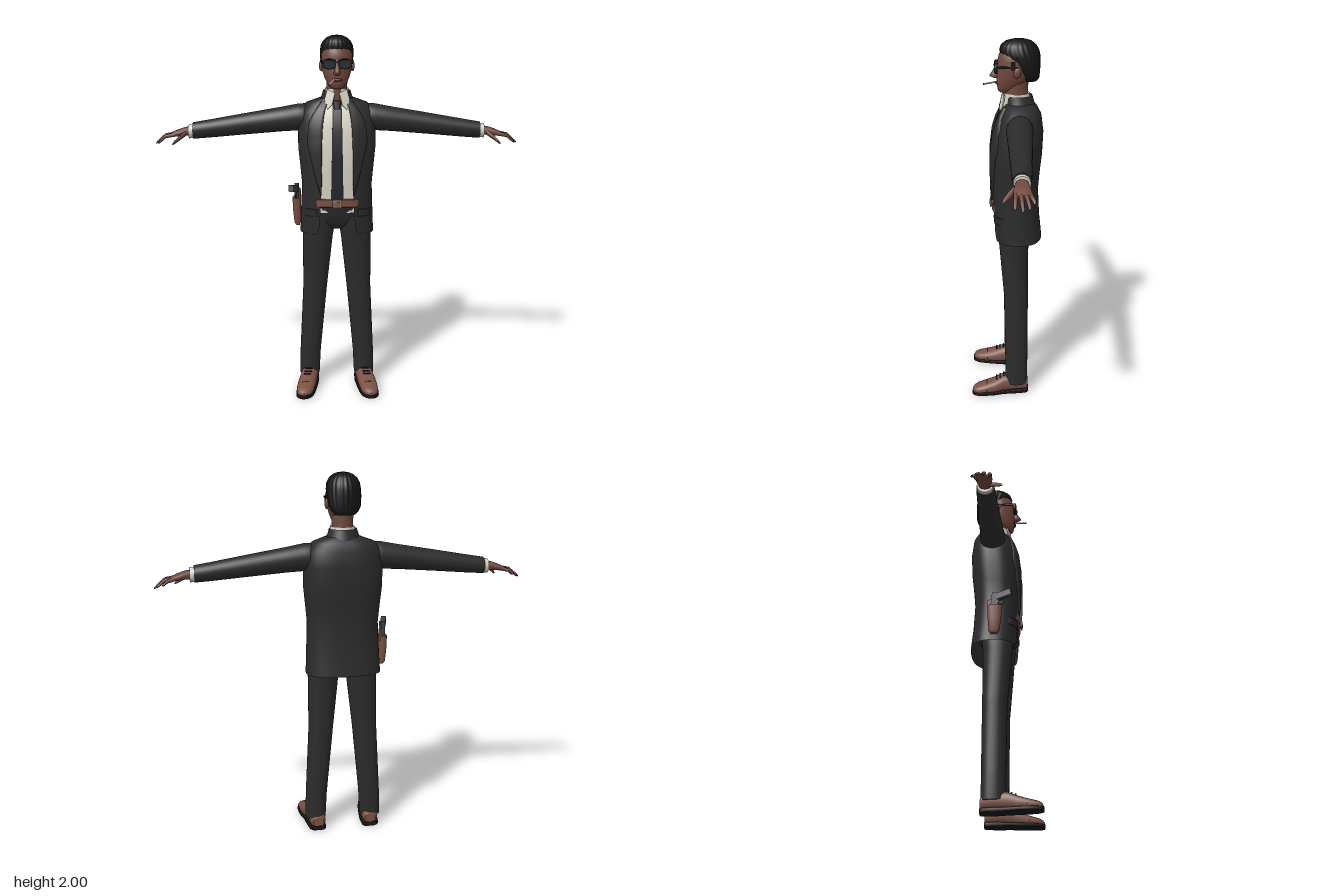
import * as THREE from 'three';

const mat = (name, color) => {
  const m = new THREE.MeshStandardMaterial({ color, side: THREE.DoubleSide });
  m.name = name;
  return m;
};
const suit = mat('charcoal suit', 0x2b2b2b), white = mat('shirt cream', 0xd6d2c4), tieMat = mat('tie navy', 0x25262c);
const skin = mat('skin brown', 0x6f483d), lip = mat('lip brown', 0x553029), black = mat('black', 0x151516);
const leather = mat('brown leather', 0x7a5145), metal = mat('gun grey', 0x3b3c40), brass = mat('buckle brown', 0x8d7565);

// Surface through rows of points; caps get their own vertices so edges stay sharp
function grid(rows, closed = false, caps = false) {
  const n = rows[0].length, pos = rows.flat(2), idx = [];
  for (let i = 0; i < rows.length - 1; i++) {
    for (let j = 0; j < (closed ? n : n - 1); j++) {
      const a = i * n + j, b = i * n + (j + 1) % n;
      idx.push(a, b, a + n, b, b + n, a + n);
    }
  }
  if (caps) {
    [rows[0], rows[rows.length - 1]].forEach((row, top) => {
      const base = pos.length / 3;
      const mid = [0, 1, 2].map(k => row.reduce((s, p) => s + p[k], 0) / n);
      pos.push(...row.flat(), ...mid);
      for (let j = 0; j < n; j++) {
        const a = base + j, b = base + (j + 1) % n;
        idx.push(base + n, top ? a : b, top ? b : a);
      }
    });
  }
  const g = new THREE.BufferGeometry();
  g.setAttribute('position', new THREE.Float32BufferAttribute(pos, 3));
  g.setIndex(idx);
  g.computeVertexNormals();
  return g;
}

// Superellipse sections along an axis; ring = [x, y, z, radiusA, radiusB, front opening]
const PLANES = { x: [1, 2], y: [2, 0], z: [0, 1] };
const spow = (v, p) => Math.sign(v) * Math.abs(v) ** p;
function loft(axis, rings, { n = 2, segs = 32, open = false, ripple = 0 } = {}) {
  const [A, B] = PLANES[axis];
  const rows = rings.map(r => {
    const t0 = open ? Math.asin((r[5] / r[4]) ** (n / 2)) : 0;
    return Array.from({ length: open ? segs + 1 : segs }, (_, j) => {
      const t = t0 + (2 * Math.PI - 2 * t0) * j / segs, p = r.slice(0, 3);
      const k = 1 + ripple * Math.cos(t * 22);
      p[A] += r[3] * k * spow(Math.cos(t), 2 / n);
      p[B] += r[4] * k * spow(Math.sin(t), 2 / n);
      return p;
    });
  });
  return grid(rows, !open, !open);
}

function flip(geo) {
  const g = geo.clone().scale(-1, 1, 1);
  if (g.index) {
    const a = g.index.array;
    for (let i = 0; i < a.length; i += 3) [a[i], a[i + 1]] = [a[i + 1], a[i]];
  } else {
    for (const at of Object.values(g.attributes)) {
      const s = at.itemSize, a = at.array;
      for (let i = 0; i < a.length; i += 3 * s)
        for (let k = 0; k < s; k++) [a[i + k], a[i + s + k]] = [a[i + s + k], a[i + k]];
    }
  }
  g.computeVertexNormals();
  return g;
}

// Interpolate a table whose rows start with the lookup value
function lookup(table, y) {
  let i = 0;
  while (i < table.length - 2 && y > table[i + 1][0]) i++;
  const a = table[i], b = table[i + 1], f = THREE.MathUtils.clamp((y - a[0]) / (b[0] - a[0]), 0, 1);
  return a.map((v, k) => v + (b[k] - v) * f);
}

// Jacket shape: y, half width, centre z, half depth, half opening
const N = 2.6;
const JACKET = [
  [0.925, .206, -.06, .13, .115], [0.96, .203, -.057, .13, .1], [1.05, .199, -.05, .127, .092],
  [1.2, .193, -.042, .127, .086], [1.3, .202, -.045, .132, .086], [1.4, .212, -.05, .138, .085],
  [1.52, .212, -.06, .133, .08], [1.6, .196, -.068, .115, .07], [1.64, .168, -.07, .092, .058], [1.668, .09, -.062, .072, .045]];
const frontZ = (x, y) => {
  const [, rx, cz, rz] = lookup(JACKET, y);
  return cz + rz * Math.max(0, 1 - (Math.abs(x) / rx) ** N) ** (1 / N);
};

// Raised panel that follows the chest, with rims turned down to the cloth
function panel(y0, y1, x0, x1, lift, drop = .012) {
  const U = [0, 0, .2, .4, .6, .8, 1, 1], R = 14, rows = [];
  for (let i = -1; i <= R + 1; i++) {
    const v = THREE.MathUtils.clamp(i / R, 0, 1), y = y0 + (y1 - y0) * v;
    rows.push(U.map((u, j) => {
      const x = x0(y) + (x1(y) - x0(y)) * u;
      const rim = i < 0 || i > R || j === 0 || j === U.length - 1;
      return [x, y, frontZ(x, y) + lift - (rim ? drop : 0)];
    }));
  }
  return grid(rows);
}

export function createModel() {
  const root = new THREE.Group();
  root.name = 'suitedMan';
  const add = (name, geo, m) => {
    const mesh = new THREE.Mesh(geo, m);
    mesh.name = name;
    root.add(mesh);
    return mesh;
  };
  const pair = (name, geo, m) => {
    add(name + 'Left', geo, m);
    add(name + 'Right', flip(geo), m);
  };
  const box = (w, h, d, x, y, z, rx = 0, ry = 0, rz = 0) =>
    new THREE.BoxGeometry(w, h, d).rotateX(rx).rotateY(ry).rotateZ(rz).translate(x, y, z);

  // Jacket, shirt and tie
  add('jacket', loft('y', JACKET.map(([y, rx, cz, rz, w]) => [0, y, cz, rz, rx, w]), { n: N, segs: 64, open: true }), suit);
  add('shirt', loft('y', JACKET.slice(2).map(([y, rx, cz, rz]) => [0, y, cz, rz - .01, rx - .012]), { n: N, segs: 48 }), white);
  const lapelEdge = [[1.15, .09], [1.3, .132], [1.45, .165], [1.56, .15], [1.655, .085]];
  pair('lapel', panel(1.15, 1.655, y => lookup(JACKET, y)[4] - .002, y => lookup(lapelEdge, y)[1], .012), suit);
  pair('pocketFlap', panel(1.03, 1.07, () => .11, () => .178, .007), suit);
  add('tie', panel(1.11, 1.66, y => -.034 + (y - 1.11) * .018, y => .034 - (y - 1.11) * .018, -.003, .008), tieMat);
  add('tieKnot', loft('y', [[0, 1.615, .036, .012, .015], [0, 1.66, .026, .014, .024]], { n: 3 }), tieMat);
  add('jacketCollar', loft('y', [[0, 1.64, -.065, .088, .098, .06], [0, 1.675, -.063, .08, .084, .055],
    [0, 1.708, -.06, .073, .074, .05]], { segs: 40, open: true }), suit);
  add('shirtCollar', loft('y', [[0, 1.65, -.052, .076, .07, .02], [0, 1.72, -.048, .07, .064, .02]], { segs: 40, open: true }), white);
  const wing = new THREE.Shape([[.012, .035], [.055, .055], [.068, .0], [.05, -.055], [.026, -.03]].map(p => new THREE.Vector2(...p)));
  pair('collarWing', new THREE.ExtrudeGeometry(wing, { depth: .007, bevelEnabled: false }).rotateX(-.2).rotateY(.25).translate(0, 1.665, .034), white);

  // Belt, hips and legs
  add('belt', panel(1.085, 1.128, () => -.112, () => .112, .005, .015), leather);
  add('buckle', box(.05, .04, .008, 0, 1.106, .09), brass);
  add('buckleCentre', box(.03, .022, .006, 0, 1.106, .093), leather);
  add('hips', loft('y', [[0, .945, -.04, .05, .05], [0, .975, -.042, .085, .12], [0, 1.03, -.045, .11, .175],
    [0, 1.1, -.045, .12, .18]], { n: 2.4 }), suit);
  pair('trouserLeg', loft('y', [[.158, .062, -.052, .063, .057], [.153, .2, -.052, .063, .059], [.124, .6, -.049, .067, .068],
    [.107, .9, -.036, .08, .084], [.098, .98, -.038, .088, .09], [.09, 1.08, -.045, .1, .086]], { n: 2.3 }), suit);

  // Shoes
  const SHOE = [[.15, .045, -.118, .03, .03], [.152, .055, -.105, .043, .045], [.156, .06, -.04, .048, .052],
    [.163, .056, .02, .048, .05], [.173, .043, .07, .051, .042], [.18, .036, .12, .05, .032],
    [.186, .03, .165, .044, .026], [.189, .027, .188, .03, .019], [.19, .024, .197, .012, .01]];
  pair('shoe', loft('z', SHOE, { n: 2.3 }), leather);
  pair('sole', loft('z', SHOE.map(([x, , z, w], i) => [x, .012, z * 1.015, w + .004, i < 3 ? .013 : .011]), { n: 6 }), black);
  pair('toeSeam', loft('z', [[.179, .037, .114, .0505, .034], [.18, .0365, .119, .0505, .033]]), black);
  for (const z of [.02, .04, .06]) {
    pair('lace', box(.042, .006, .007, .163 + (z - .02) * .2, .107 - (z - .02) * .4, z, .3), black);
  }

  // Sleeves, cuffs and hands
  pair('sleeve', loft('x', [[.12, 1.55, -.066, .068, .06], [.16, 1.56, -.064, .076, .07], [.21, 1.561, -.062, .073, .071],
    [.3, 1.55, -.061, .067, .065], [.5, 1.525, -.06, .058, .057], [.7, 1.499, -.058, .049, .049], [.785, 1.489, -.057, .045, .045]]), suit);
  pair('cuff', loft('x', [[.77, 1.489, -.057, .039, .04], [.808, 1.485, -.057, .039, .04]]), white);
  pair('palm', loft('x', [[.79, 1.487, -.057, .025, .028], [.83, 1.485, -.056, .023, .034], [.87, 1.476, -.056, .018, .042],
    [.9, 1.468, -.057, .013, .041], [.912, 1.464, -.057, .007, .035]], { n: 2.3, segs: 20 }), skin);
  const tips = [[.95, 1.44, -.108], [.982, 1.428, -.086], [.992, 1.42, -.056], [.975, 1.425, -.022]];
  tips.forEach(([x, y, z], i) => {
    const z0 = -.089 + i * .021, mx = (x + .89) / 2;
    pair('finger', loft('x', [[.885, 1.47, z0, .011, .011], [mx, 1.462, (z + z0) / 2, .01, .01],
      [x - .012, y + .008, z, .008, .008], [x, y, z, .003, .003]], { segs: 12 }), skin);
  });
  pair('thumb', loft('x', [[.82, 1.48, -.035, .015, .015], [.85, 1.458, -.005, .013, .014], [.877, 1.437, .02, .01, .011],
    [.888, 1.426, .031, .004, .005]], { segs: 12 }), skin);

  // Neck, head and face
  add('neck', loft('y', [[0, 1.63, -.05, .065, .06], [0, 1.7, -.045, .064, .055], [0, 1.79, -.045, .068, .058]]), skin);
  add('head', loft('y', [[0, 1.722, .008, .028, .024], [0, 1.732, .004, .043, .04], [0, 1.75, -.006, .057, .053], [0, 1.78, -.024, .078, .067],
    [0, 1.81, -.04, .095, .077], [0, 1.85, -.045, .095, .083], [0, 1.89, -.05, .1, .084], [0, 1.92, -.055, .097, .079],
    [0, 1.95, -.06, .085, .065]], { n: 2.2, segs: 40 }), skin);
  add('nose', loft('y', [[0, 1.797, .058, .012, .014], [0, 1.808, .064, .029, .02], [0, 1.82, .06, .026, .016],
    [0, 1.84, .053, .02, .012], [0, 1.875, .045, .012, .01]], { segs: 20 }), skin);
  pair('ear', new THREE.SphereGeometry(1, 16, 12).scale(.012, .03, .02).rotateX(-.2).translate(.084, 1.838, -.052), skin);
  add('lips', new THREE.SphereGeometry(1, 20, 12).scale(.028, .008, .012).translate(0, 1.771, .05), lip);
  const smokeFrom = new THREE.Vector3(-.018, 1.772, .055), smokeTo = new THREE.Vector3(-.045, 1.754, .122);
  add('cigarette', new THREE.TubeGeometry(new THREE.LineCurve3(smokeFrom, smokeTo), 1, .0045, 10), white);
  add('cigaretteTip', new THREE.SphereGeometry(.005, 10, 8).translate(...smokeTo.toArray()), metal);

  // Combed hair
  add('hair', loft('y', [[0, 1.785, -.122, .036, .05], [0, 1.8, -.12, .048, .068], [0, 1.83, -.114, .058, .083], [0, 1.88, -.09, .083, .089],
    [0, 1.915, -.071, .101, .09], [0, 1.945, -.063, .102, .086], [0, 1.97, -.06, .09, .073], [0, 1.988, -.06, .068, .052],
    [0, 1.997, -.062, .04, .03], [0, 2, -.063, .012, .01]], { segs: 132, ripple: .015 }), black);
  pair('sideburn', box(.008, .045, .022, .081, 1.872, -.03, 0, .12), black);

  // Sunglasses
  pair('glassesFrame', loft('z', [[.041, 1.855, .05, .037, .027], [.041, 1.855, .064, .037, .027]], { n: 3 }), black);
  pair('lens', loft('z', [[.041, 1.855, .063, .031, .021], [.041, 1.855, .067, .03, .02]], { n: 3 }), tieMat);
  add('glassesBridge', box(.024, .008, .012, 0, 1.865, .064), black);
  pair('glassesTemple', box(.006, .01, .115, .083, 1.865, 0, 0, -.07), black);

  // Holster and pistol on the right hip
  add('holster', loft('y', [[-.218, .955, -.05, .018, .01], [-.22, .97, -.05, .028, .018], [-.222, 1.04, -.048, .036, .023],
    [-.224, 1.115, -.045, .04, .024]], { n: 2.6, segs: 24 }), leather);
  add('holsterStrap', box(.012, .07, .03, -.208, 1.125, -.07), leather);
  add('pistolSlide', box(.024, .085, .04, -.224, 1.148, -.045, .1), metal);
  add('pistolGrip', box(.028, .036, .085, -.24, 1.175, .005, -.2, -.3), metal);
  add('pistolGuard', new THREE.TorusGeometry(.016, .004, 8, 16).rotateY(Math.PI / 2).translate(-.228, 1.14, -.012), metal);
  return root;
}
